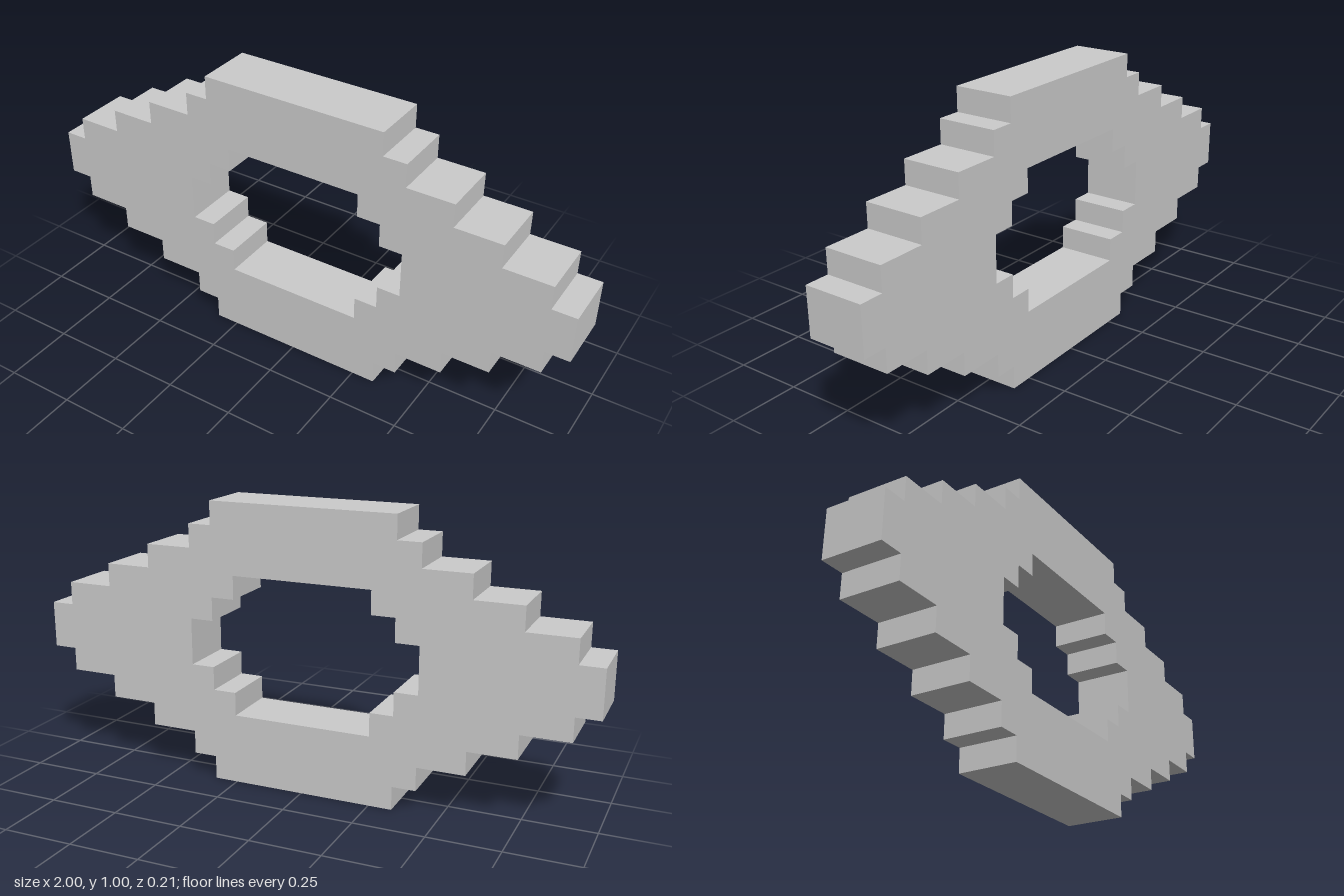
import * as THREE from 'three';

const UNIT = 1 / 12; // size of one step block
const DEPTH = 2.5 * UNIT;

// Mirror one quarter of a stepped outline into a closed loop around the centre
function mirroredLoop(quarter) {
  const flip = (sx, sy) => quarter.map(([x, y]) => new THREE.Vector2(x * sx * UNIT, y * sy * UNIT));
  return [...flip(1, 1), ...flip(-1, 1).reverse(), ...flip(-1, -1), ...flip(1, -1).reverse()];
}

export function createModel() {
  const group = new THREE.Group();
  group.name = 'steppedEyeFrame';

  // Stepped diamond outline, from the side tip up to the flat top
  const shape = new THREE.Shape(mirroredLoop([
    [12, 1], [11, 1], [11, 2], [9, 2], [9, 3], [7, 3], [7, 4], [5, 4], [5, 5], [4, 5], [4, 6],
  ]));

  // Stepped opening in the middle
  shape.holes.push(new THREE.Path(mirroredLoop([
    [5, 1], [4, 1], [4, 2], [3, 2], [3, 3],
  ])));

  // Solid plate, centred in depth and standing on the ground
  const geometry = new THREE.ExtrudeGeometry(shape, { depth: DEPTH, bevelEnabled: false });
  geometry.translate(0, 6 * UNIT, -DEPTH / 2);
  const frame = new THREE.Mesh(
    geometry,
    new THREE.MeshStandardMaterial({ color: 0xcccccc, flatShading: true }),
  );
  frame.name = 'steppedFrame';
  group.add(frame);

  return group;
}
